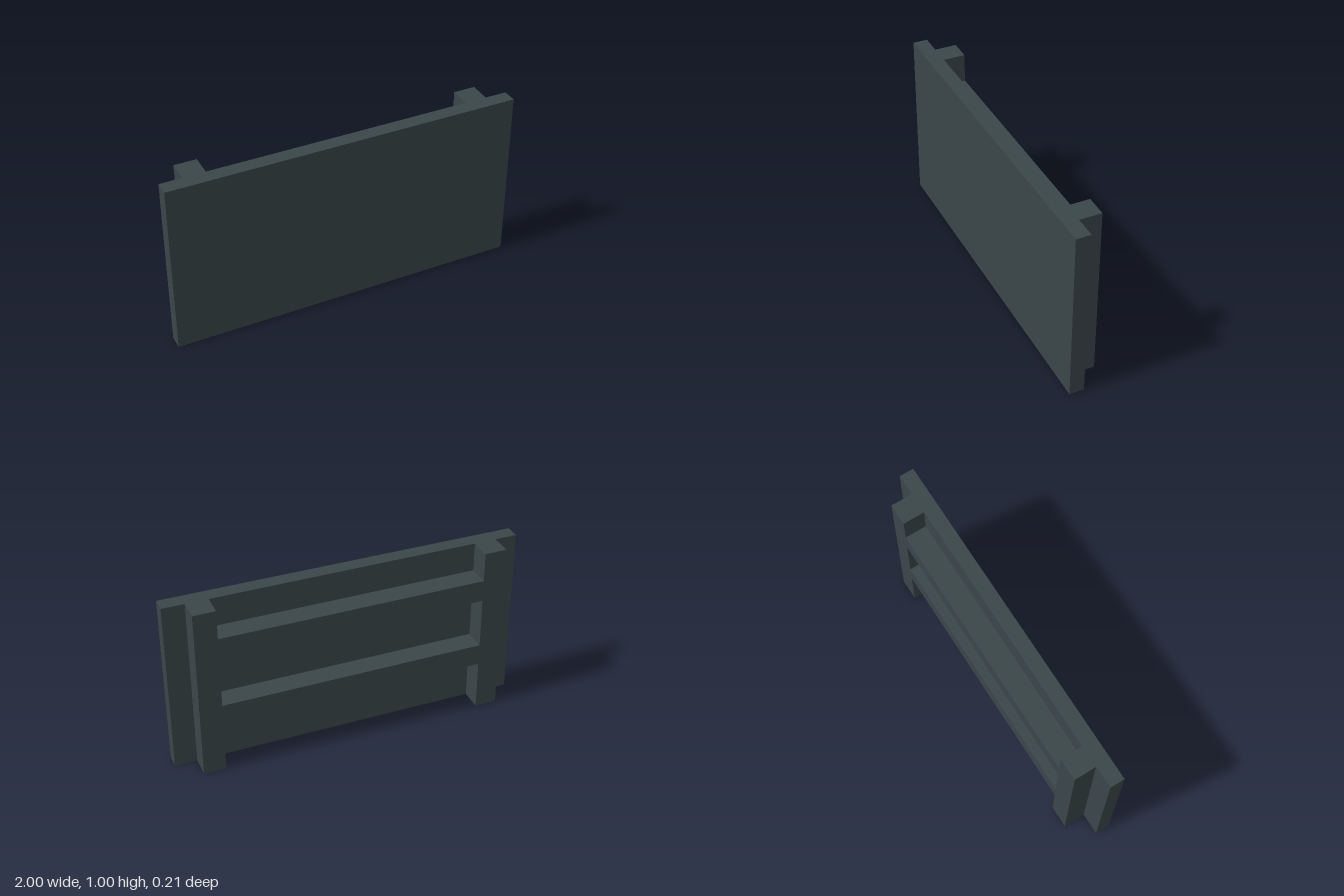
import * as THREE from 'three';

export function createModel() {
  const model = new THREE.Group();
  const slate = new THREE.MeshStandardMaterial({ color: 0x3b464a });
  slate.name = 'darkSlate';

  // Box given by its lower and upper corners
  function block(name, [x0, y0, z0], [x1, y1, z1]) {
    const mesh = new THREE.Mesh(new THREE.BoxGeometry(x1 - x0, y1 - y0, z1 - z0), slate);
    mesh.position.set((x0 + x1) / 2, (y0 + y1) / 2, (z0 + z1) / 2);
    mesh.name = name;
    model.add(mesh);
  }

  const back = -0.104, seam = 0.021, front = 0.104;

  // Flat front panel
  block('panel', [-1, 0, seam], [1, 1, front]);

  // Upright posts behind the panel
  block('leftPost', [0.75, 0, back], [0.875, 1, seam]);
  block('rightPost', [-0.875, 0, back], [-0.75, 1, seam]);

  // Cross rails between the posts, flush with their backs
  block('lowerRail', [-0.75, 0.292, back], [0.75, 0.417, seam]);
  block('upperRail', [-0.75, 0.708, back], [0.75, 0.833, seam]);

  return model;
}
